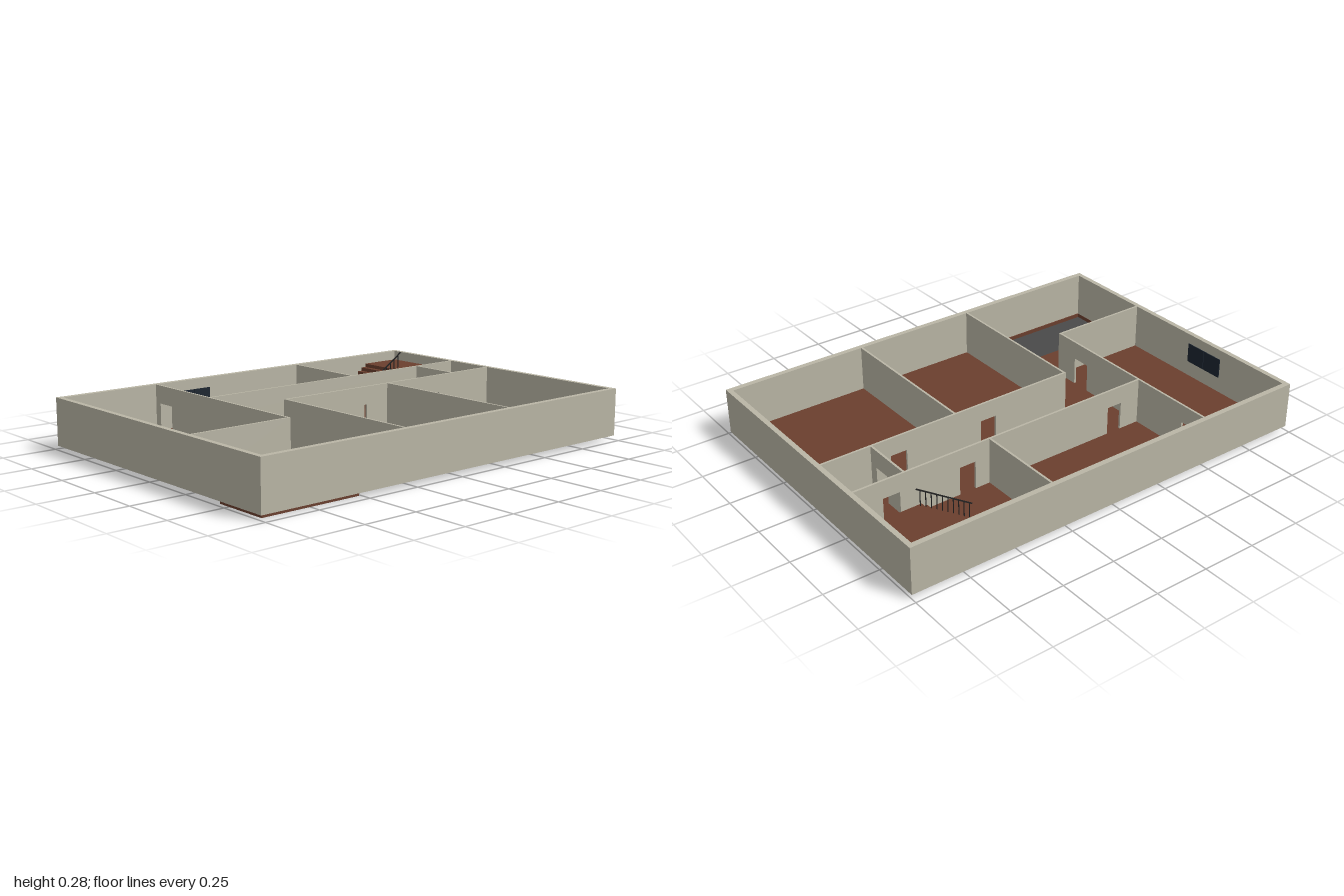
import * as THREE from 'three';

const mat = (color) => new THREE.MeshStandardMaterial({ color, side: THREE.DoubleSide });
const WALL = mat(0xbab6a6), WOOD = mat(0x6b3f2e), STONE = mat(0x4a4a4a), GLASS = mat(0x1c2530), METAL = mat(0x222222);
const BASE = 0.02, TOP = 0.235, HEIGHT = TOP - BASE, DOOR = 0.132;

const polygon = (pts) => new THREE.Shape(pts.map(([x, y]) => new THREE.Vector2(x, y)));
const rect = (x1, y1, x2, y2) => [[x1, y1], [x2, y1], [x2, y2], [x1, y2]];
const extrude = (shape, depth) => new THREE.ExtrudeGeometry(shape, { depth, bevelEnabled: false });

export function createModel() {
  const model = new THREE.Group();
  const add = (name, geometry, material, x = 0, y = 0, z = 0) => {
    const mesh = new THREE.Mesh(geometry, material);
    mesh.name = name;
    mesh.position.set(x, y, z);
    model.add(mesh);
    return mesh;
  };
  const box = (name, material, x1, y1, z1, x2, y2, z2) =>
    add(name, new THREE.BoxGeometry(x2 - x1, y2 - y1, z2 - z1), material,
      (x1 + x2) / 2, (y1 + y2) / 2, (z1 + z2) / 2);

  // Outer wall ring
  const ring = polygon(rect(-1, -0.725, 1, 0.725));
  ring.holes.push(polygon(rect(-0.977, -0.7, 0.977, 0.7)));
  add('outerWalls', extrude(ring, HEIGHT).rotateX(-Math.PI / 2), WALL, 0, BASE, 0);

  // Floor with openings for the sunken entry and the stairwell (shape y is -z)
  const floor = polygon(rect(-0.977, -0.7, 0.977, 0.7));
  floor.holes.push(polygon(rect(-0.977, -0.697, -0.51, -0.445)), polygon(rect(0.54, 0.46, 0.976, 0.699)));
  add('floor', new THREE.ShapeGeometry(floor).rotateX(-Math.PI / 2), WOOD, 0, BASE + 0.001, 0);

  // Sunken entry: stone base with wooden sides
  box('entryBase', STONE, -0.977, 0, 0.445, -0.51, 0.002, 0.697);
  const curb = polygon(rect(-0.978, -0.698, -0.509, -0.444));
  curb.holes.push(polygon(rect(-0.976, -0.696, -0.511, -0.446)));
  add('entrySides', extrude(curb, BASE).rotateX(-Math.PI / 2), WOOD, 0, 0.0005, 0);

  // Partitions: outline with door notches; alongZ walls run in z at a fixed x
  const T = 0.01;
  const partition = (alongZ, at, from, to, doors = []) => {
    const pts = [[from, 0]];
    for (const [a, b] of doors) pts.push([a, 0], [a, DOOR], [b, DOOR], [b, 0]);
    pts.push([to, 0], [to, HEIGHT], [from, HEIGHT]);
    const wall = add('partition', extrude(polygon(pts), T), WALL);
    if (alongZ) {
      wall.rotation.y = -Math.PI / 2;
      wall.position.set(at + T / 2, BASE, 0);
    } else wall.position.set(0, BASE, at - T / 2);
  };
  partition(true, -0.5, -0.7, 0.265, [[-0.665, -0.575], [0.055, 0.145]]);
  partition(false, 0.26, -0.978, -0.505);
  partition(false, -0.29, -0.495, 0.978, [[-0.395, -0.32], [0.395, 0.475], [0.765, 0.845]]);
  partition(true, 0.32, -0.7, -0.295);
  partition(true, 0.74, -0.285, -0.05, [[-0.17, -0.09]]);
  partition(false, -0.045, -0.28, 0.978, [[0.11, 0.19], [0.57, 0.65]]);
  partition(true, -0.275, -0.04, 0.7);
  partition(true, 0.32, -0.04, 0.7);

  // Dark two-pane windows on the inner faces
  for (const i of [0, 1]) {
    const x = -0.387 + i * 0.09, z = -0.32 + i * 0.104;
    box('backWindowPane', GLASS, x, 0.095, -0.701, x + 0.087, 0.188, -0.696);
    box('sideWindowPane', GLASS, -0.978, 0.095, z, -0.973, 0.188, z + 0.101);
  }

  // Stairs: hollow zigzag sheet ending in a landing
  const STEPS = 10, RUN = 0.0256, RISE = 0.017, X0 = 0.54, SKIN = 0.003;
  const upper = [[X0, BASE]], lower = [[X0 + SKIN, BASE]];
  for (let i = 0; i < STEPS; i++) {
    const x = X0 + i * RUN, y = BASE + (i + 1) * RISE;
    const next = i < STEPS - 1 ? x + RUN : 0.977;
    upper.push([x, y], [next, y]);
    lower.push([x + SKIN, y - SKIN], [i < STEPS - 1 ? next + SKIN : next, y - SKIN]);
  }
  add('stairs', extrude(polygon([...upper, ...lower.reverse()]), 0.238), WOOD, 0, 0, -0.7);
  add('stairSide', extrude(polygon([...upper, [0.977, BASE]]), 0.003), WOOD, 0, 0, -0.462);

  // Handrail with one baluster per step
  const railY = (x) => 0.273 - (0.8 - x) * RISE / RUN;
  const length = Math.hypot(0.26, railY(0.8) - railY(0.54));
  const rail = add('handrail', new THREE.BoxGeometry(length, 0.005, 0.005), METAL, 0.67, railY(0.67), -0.469);
  rail.rotation.z = Math.atan2(RISE, RUN);
  for (let i = 0; i < STEPS; i++) {
    const x = X0 + (i + 0.5) * RUN;
    box('baluster', METAL, x - 0.0015, BASE + (i + 1) * RISE, -0.4705, x + 0.0015, railY(x), -0.4675);
  }
  return model;
}
